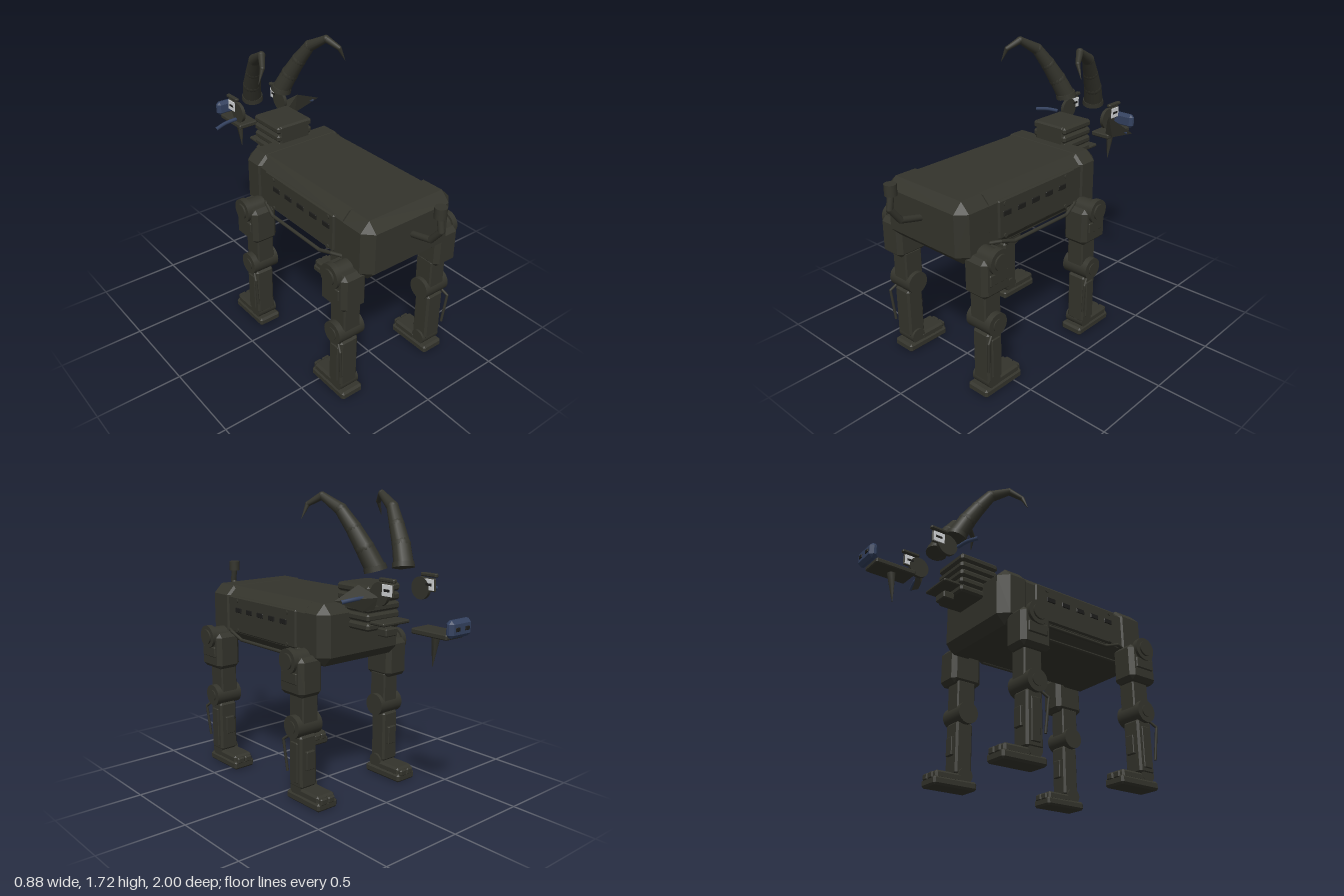
import * as THREE from 'three';
import { ConvexGeometry } from 'three/addons/geometries/ConvexGeometry.js';

const mat = (name, color) => Object.assign(new THREE.MeshStandardMaterial({ color }), { name });
const V = (x, y, z) => new THREE.Vector3(x, y, z);

export function createModel() {
  const model = new THREE.Group();
  model.name = 'roboticGoat';
  const armour = mat('darkOliveArmour', 0x34342c);
  const dark = mat('darkRecess', 0x1d1d1b);
  const blue = mat('blueAccent', 0x33415f);
  const white = mat('eyeWhite', 0xd4d6d8);

  const add = (parent, name, geo, m = armour) => {
    const mesh = new THREE.Mesh(geo, m);
    mesh.name = name;
    parent.add(mesh);
    return mesh;
  };
  // Box with chamfered edges, given by its limits on each axis
  const block = (parent, name, [x0, x1], [y0, y1], [z0, z1], c = 0.01, m = armour) => {
    const h = [(x1 - x0) / 2, (y1 - y0) / 2, (z1 - z0) / 2];
    const pts = [];
    for (let axis = 0; axis < 3; axis++)
      for (const sx of [-1, 1]) for (const sy of [-1, 1]) for (const sz of [-1, 1]) {
        const d = h.map((v, i) => (i === axis ? v : v - c));
        pts.push(V(sx * d[0], sy * d[1], sz * d[2]));
      }
    const mesh = add(parent, name, new ConvexGeometry(pts), m);
    mesh.position.set((x0 + x1) / 2, (y0 + y1) / 2, (z0 + z1) / 2);
    return mesh;
  };
  // Cylinder lying along x
  const axle = (parent, name, r, x0, x1, y, z, m = armour, r2 = r) => {
    const mesh = add(parent, name, new THREE.CylinderGeometry(r, r2, x1 - x0, 24).rotateZ(-Math.PI / 2), m);
    mesh.position.set((x0 + x1) / 2, y, z);
    return mesh;
  };
  // Tapered round bar between two points
  const bar = (parent, name, a, b, ra, rb, m = armour, sides = 14) => {
    const dir = b.clone().sub(a);
    const mesh = add(parent, name, new THREE.CylinderGeometry(rb, ra, dir.length(), sides), m);
    mesh.position.copy(a).addScaledVector(dir, 0.5);
    mesh.quaternion.setFromUnitVectors(V(0, 1, 0), dir.normalize());
    return mesh;
  };
  const chain = (parent, name, pts, r, m = armour) => {
    for (let i = 1; i < pts.length; i++) {
      bar(parent, name, pts[i - 1], pts[i], r, r, m, 12);
      if (i < pts.length - 1) add(parent, name + 'Joint', new THREE.SphereGeometry(r, 12, 8), m).position.copy(pts[i]);
    }
  };

  // Torso: long hull with heavier chest and hip ends
  const torso = new THREE.Group();
  torso.name = 'torso';
  model.add(torso);
  block(torso, 'hull', [-0.295, 0.295], [0.8, 1.134], [-0.29, 0.77], 0.06);
  block(torso, 'hips', [-0.305, 0.305], [0.79, 1.136], [0.545, 0.79], 0.055);
  block(torso, 'chest', [-0.305, 0.305], [0.79, 1.136], [-0.31, -0.1], 0.055);
  block(torso, 'belly', [-0.24, 0.24], [0.79, 0.83], [-0.25, 0.73], 0.008);

  // Neck: stacked ribs
  const neck = new THREE.Group();
  neck.name = 'neck';
  model.add(neck);
  block(neck, 'neckCore', [-0.105, 0.105], [1.0, 1.24], [-0.44, -0.21], 0.01);
  for (let i = 0; i < 5; i++) {
    const y = 0.995 + i * 0.05;
    block(neck, 'neckRib', [-0.122, 0.122], [y, y + 0.044], [-0.46, -0.21], 0.012);
  }
  block(neck, 'throatPlate', [-0.1, 0.1], [1.033, 1.053], [-0.555, -0.44], 0.006);
  block(neck, 'throatBlock', [-0.045, 0.045], [0.965, 1.01], [-0.52, -0.45], 0.006);

  // Muzzle, nose and beard
  const muzzle = new THREE.Group();
  muzzle.name = 'muzzle';
  model.add(muzzle);
  block(muzzle, 'jaw', [-0.066, 0.066], [1.025, 1.055], [-0.95, -0.715], 0.006);
  block(muzzle, 'nose', [-0.08, 0.08], [1.04, 1.13], [-0.995, -0.945], 0.018, blue);
  for (const s of [-1, 1])
    block(muzzle, 'nostril', [s * 0.035 - 0.015, s * 0.035 + 0.015], [1.075, 1.095], [-1, -0.992], 0.002, dark);
  bar(muzzle, 'beard', V(0, 1.025, -0.828), V(0, 0.86, -0.81), 0.026, 0.002, armour, 6);

  // Tail: bent rod with a cylindrical tip
  const tail = new THREE.Group();
  tail.name = 'tail';
  model.add(tail);
  chain(tail, 'tailRod', [V(0, 0.985, 0.77), V(0, 1.02, 0.915), V(0, 1.1, 0.978), V(0, 1.18, 0.963)], 0.018);
  bar(tail, 'tailTip', V(0, 1.172, 0.963), V(0, 1.232, 0.963), 0.033, 0.033);

  // Paired parts
  for (const s of [-1, 1]) {
    const m = (x, y, z) => V(s * x, y, z);
    const span = (a, b) => (s > 0 ? [a, b] : [-b, -a]);
    const name = s > 0 ? 'left' : 'right';

    // Flank panel, vents, bolts and hose
    const flank = new THREE.Group();
    flank.name = name + 'Flank';
    model.add(flank);
    block(flank, 'sidePanel', span(0.28, 0.308), [0.865, 1.085], [-0.08, 0.53], 0.008);
    for (let i = 0; i < 5; i++) {
      const z = 0.03 + i * 0.11;
      block(flank, 'vent', span(0.306, 0.313), [0.99, 1.02], [z - 0.03, z + 0.03], 0.003, dark);
    }
    for (const z of [0, 0.485]) for (const y of [0.88, 1.06])
      axle(flank, 'bolt', 0.012, ...span(0.3, 0.314), y, z);
    chain(flank, 'hose', [m(0.28, 0.87, 0.62), m(0.318, 0.865, 0.53), m(0.318, 0.83, 0.43),
      m(0.318, 0.83, 0.0), m(0.3, 0.865, -0.09), m(0.25, 0.87, -0.18)], 0.01);

    // Horn: tapering segments with raised lips
    const horn = new THREE.Group();
    horn.name = name + 'Horn';
    model.add(horn);
    const path = [m(0.105, 1.335, -0.495), m(0.135, 1.44, -0.445), m(0.16, 1.54, -0.385),
      m(0.19, 1.635, -0.32), m(0.22, 1.703, -0.205), m(0.262, 1.658, -0.137), m(0.297, 1.58, -0.125)];
    const radii = [0.056, 0.051, 0.043, 0.034, 0.021, 0.014, 0.001];
    bar(horn, 'hornBase', m(0.103, 1.325, -0.495), m(0.107, 1.352, -0.489), 0.063, 0.06);
    for (let i = 0; i < 6; i++) {
      bar(horn, 'hornSegment', path[i], path[i + 1], radii[i], radii[i + 1]);
      if (i) add(horn, 'hornRing', new THREE.SphereGeometry(radii[i] * 1.03, 14, 10)).position.copy(path[i]);
    }

    // Eye: round socket, brow and slit plate
    const eye = new THREE.Group();
    eye.name = name + 'Eye';
    model.add(eye);
    axle(eye, 'eyeSocket', 0.062, ...span(0.143, 0.163), 1.22, -0.58);
    block(eye, 'brow', span(0.143, 0.168), [1.286, 1.306], [-0.69, -0.58], 0.005);
    block(eye, 'eyeFrame', span(0.149, 0.161), [1.208, 1.28], [-0.68, -0.595], 0.004);
    for (const [x, side] of [[0.163, 'outer'], [0.147, 'inner']]) {
      block(eye, side + 'EyePlate', span(x - 0.003, x + 0.003), [1.215, 1.275], [-0.673, -0.603], 0.001, white);
      block(eye, side + 'Pupil', span(x - 0.0045, x + 0.0045), [1.238, 1.252], [-0.66, -0.618], 0.001, dark);
    }

    // Ear: blue inner strip, with a leaf shell on the left
    const ear = new THREE.Group();
    ear.name = name + 'Ear';
    model.add(ear);
    const curve = new THREE.CatmullRomCurve3([m(0.2, 1.203, -0.537), m(0.28, 1.2, -0.53), m(0.357, 1.19, -0.51)]);
    add(ear, 'earStrip', new THREE.TubeGeometry(curve, 12, 0.011, 8), blue);
    if (s > 0) add(ear, 'earShell', new ConvexGeometry([m(0.155, 1.2, -0.575), m(0.225, 1.265, -0.495),
      m(0.392, 1.2, -0.5), m(0.165, 1.135, -0.55), m(0.23, 1.13, -0.53)]));

    // Legs: same build front and rear
    for (const [part, z] of [['FrontLeg', -0.153], ['HindLeg', 0.645]]) {
      const leg = new THREE.Group();
      leg.name = name + part;
      leg.position.z = z;
      model.add(leg);
      block(leg, 'shoulderBlock', span(0.25, 0.41), [0.63, 0.855], [-0.1, 0.1], 0.025);
      block(leg, 'shoulderPlate', span(0.4, 0.418), [0.705, 0.77], [-0.065, 0.065], 0.005);
      axle(leg, 'shoulderAxle', 0.055, ...span(0.27, 0.4), 0.83, 0);
      axle(leg, 'shoulderDisc', 0.07, ...span(0.395, 0.428), 0.83, 0);
      axle(leg, 'shoulderCap', 0.045, ...span(0.42, 0.438), 0.83, 0);
      block(leg, 'thigh', span(0.257, 0.368), [0.44, 0.65], [-0.06, 0.06], 0.008);
      axle(leg, 'knee', 0.066, ...span(0.232, 0.402), 0.45, 0);
      axle(leg, 'kneeCap', 0.035, ...span(0.398, 0.408), 0.45, 0);
      block(leg, 'shin', span(0.263, 0.38), [0.09, 0.4], [-0.055, 0.055], 0.012);
      block(leg, 'shinPanel', span(0.372, 0.388), [0.12, 0.36], [-0.03, 0.03], 0.004);
      block(leg, 'shinGuard', span(0.29, 0.35), [0.2, 0.31], [-0.072, -0.05], 0.004);
      axle(leg, 'ankle', 0.045, ...span(0.25, 0.375), 0.085, 0.005);
      chain(leg, 'cable', [m(0.385, 0.4, 0.03), m(0.402, 0.365, 0.072), m(0.385, 0.175, 0.06)], 0.008);
      block(leg, 'sole', span(0.24, 0.382), [0.004, 0.055], [-0.205, 0.078], 0.012);
      block(leg, 'foot', span(0.248, 0.374), [0.04, 0.09], [-0.19, -0.02], 0.012);
      for (const x of [0.265, 0.318])
        block(leg, 'toe', span(x - 0.005, x + 0.045), [0.04, 0.08], [-0.21, -0.16], 0.008);
    }
  }
  return model;
}
